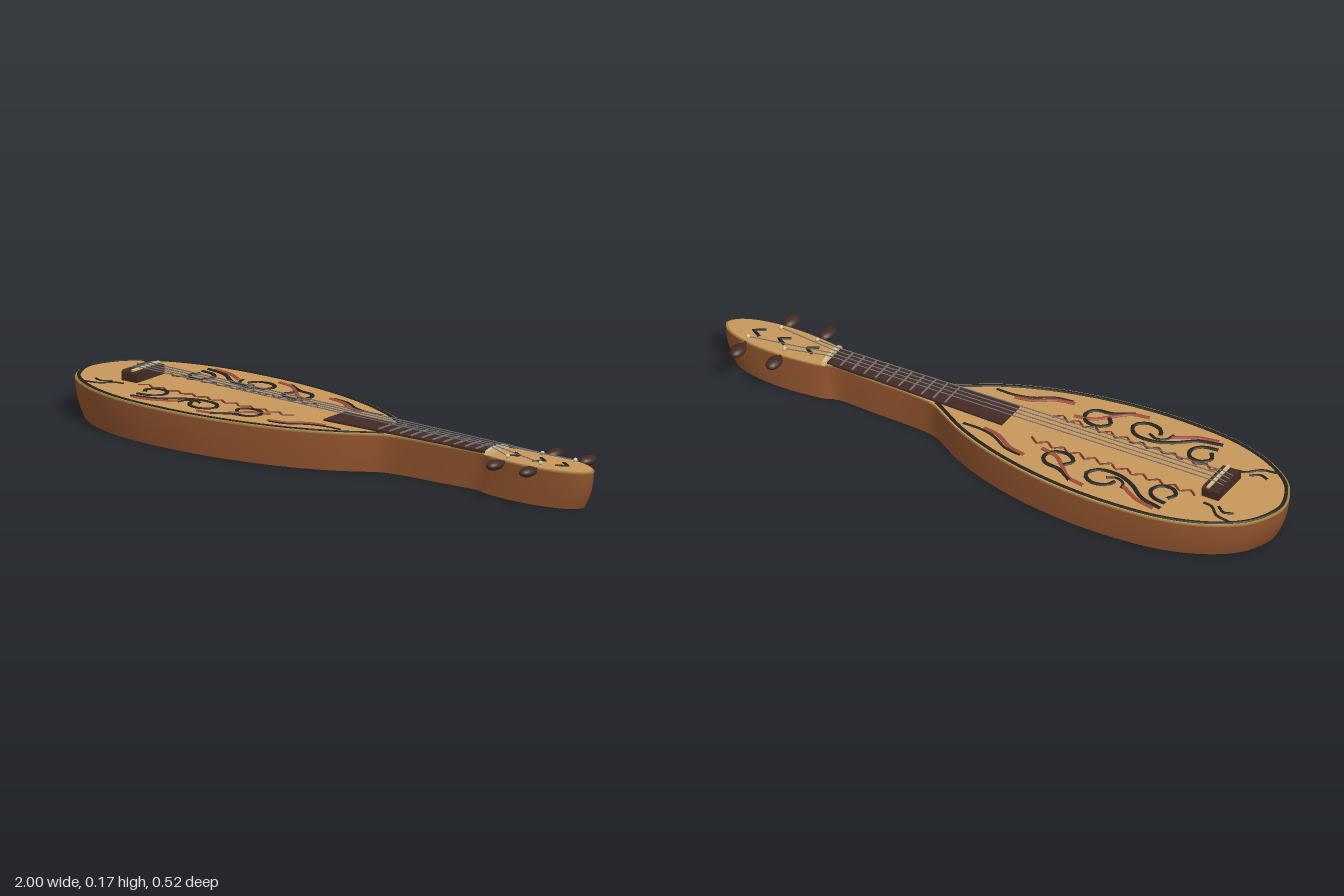
import * as THREE from 'three';

const mat = (name, color) => Object.assign(new THREE.MeshStandardMaterial({ color }), { name });
const V = (x, y, z) => new THREE.Vector3(x, y, z);

export function createModel() {
  const root = new THREE.Group();
  root.name = 'lute';
  const wood = mat('reddish side wood', 0x96562f);
  const spruce = mat('tan soundboard', 0xc6975a);
  const gilt = mat('olive gold binding', 0xa4803f);
  const ebony = mat('dark brown wood', 0x432a23);
  const ink = mat('black inlay', 0x22221f);
  const red = mat('red inlay', 0xa14a38);
  const maroon = mat('maroon inlay', 0x762f22);
  const bone = mat('bone', 0xd3c08c);
  const steel = mat('string steel', 0x77777a);

  const add = (name, geo, m, x = 0, y = 0, z = 0, parent = root) => {
    const mesh = new THREE.Mesh(geo, m);
    mesh.name = name;
    mesh.position.set(x, y, z);
    parent.add(mesh);
    return mesh;
  };

  // Plan outline: x and half width, mirrored into a closed curve
  const half = [
    [-0.985, 0.06], [-0.95, 0.12], [-0.89, 0.17], [-0.8, 0.215], [-0.68, 0.247], [-0.52, 0.26],
    [-0.36, 0.256], [-0.18, 0.23], [-0.02, 0.186], [0.1, 0.135], [0.17, 0.093], [0.225, 0.062],
    [0.3, 0.051], [0.45, 0.046], [0.605, 0.042], [0.625, 0.053], [0.7, 0.066], [0.8, 0.071],
    [0.89, 0.063], [0.96, 0.042], [0.99, 0.02],
  ];
  const ring = [[-1, 0], ...half, [1, 0], ...half.map(([x, z]) => [x, -z]).reverse()];
  const outline = new THREE.CatmullRomCurve3(ring.map(([x, z]) => V(x, 0, z)), true, 'centripetal');
  outline.arcLengthDivisions = 800;
  const N = 200;
  const loop = outline.getSpacedPoints(N).slice(0, N);

  // Bowl sides lofted from scaled copies of the outline
  const levels = [[0, 0.965], [0.025, 0.978], [0.06, 0.991], [0.09, 0.997], [0.118, 1]];
  const pos = [], idx = [];
  levels.forEach(([y, s]) => loop.forEach(p => pos.push(p.x * s, y, p.z * s)));
  for (let l = 0; l < levels.length - 1; l++) {
    for (let i = 0; i < N; i++) {
      const j = (i + 1) % N, a = l * N + i, b = l * N + j;
      idx.push(a, b, b + N, a, b + N, a + N);
    }
  }
  const sides = new THREE.BufferGeometry();
  sides.setAttribute('position', new THREE.Float32BufferAttribute(pos, 3));
  sides.setIndex(idx);
  sides.computeVertexNormals();
  add('sides', sides, wood);

  const shape = s => new THREE.Shape(loop.map(p => new THREE.Vector2(p.x * s, p.z * s)));
  add('back', new THREE.ShapeGeometry(shape(0.965)).rotateX(Math.PI / 2), wood);
  const plate = (name, s, y, h, m) => add(name,
    new THREE.ExtrudeGeometry(shape(s), { depth: h, bevelEnabled: false }).rotateX(-Math.PI / 2), m, 0, y);
  plate('binding', 1, 0.118, 0.004, gilt);
  plate('soundboard', 0.993, 0.122, 0.003, spruce);

  // Flattened inlay line laid on the soundboard
  const inlay = (name, pts, r, m, smooth = true) => {
    const v = pts.map(([x, z]) => V(x, 0, z));
    let curve = new THREE.CatmullRomCurve3(v);
    if (!smooth) {
      curve = new THREE.CurvePath();
      for (let i = 1; i < v.length; i++) curve.add(new THREE.LineCurve3(v[i - 1], v[i]));
    }
    const geo = new THREE.TubeGeometry(curve, smooth ? Math.max(24, pts.length) : (v.length - 1) * 4, r, 6);
    add(name, geo.scale(1, 0.4, 1), m, 0, 0.126);
  };

  // Black purfling following the body edge
  const edge = [];
  for (let i = -N / 2; i < N / 2; i++) {
    const u = ((i + N) % N) / N, p = outline.getPointAt(u), t = outline.getTangentAt(u);
    if (p.x < 0.225) edge.push([p.x + t.z * 0.012, p.z - t.x * 0.012]);
  }
  inlay('purfling', edge, 0.0065, ink);

  // Scrollwork, mirrored on both halves
  const scrolls = [
    [[-0.67, 0.195], [-0.59, 0.175], [-0.53, 0.13], [-0.47, 0.105], [-0.4, 0.11], [-0.375, 0.15],
      [-0.41, 0.18], [-0.46, 0.17], [-0.475, 0.14]],
    [[-0.29, 0.145], [-0.31, 0.115], [-0.28, 0.088], [-0.235, 0.095], [-0.215, 0.13], [-0.235, 0.16], [-0.29, 0.17], [-0.35, 0.205]],
    [[-0.66, 0.14], [-0.675, 0.11], [-0.65, 0.085], [-0.61, 0.09], [-0.595, 0.125], [-0.62, 0.155], [-0.67, 0.165]],
    [[-0.51, 0.165], [-0.5, 0.135], [-0.47, 0.122], [-0.44, 0.135]],
    [[-0.15, 0.165], [-0.09, 0.155], [-0.03, 0.12], [0.03, 0.105], [0.09, 0.105]],
    [[-0.89, 0.15], [-0.84, 0.14], [-0.8, 0.105], [-0.77, 0.1]],
    [[-0.88, 0.105], [-0.85, 0.115], [-0.82, 0.095]],
  ];
  const redScrolls = [
    [[-0.4, 0.208], [-0.34, 0.195], [-0.29, 0.15], [-0.25, 0.115], [-0.19, 0.1]],
    [[-0.16, 0.158], [-0.1, 0.145], [-0.04, 0.108], [0.02, 0.095]],
    [[-0.65, 0.205], [-0.58, 0.19], [-0.51, 0.15]],
  ];
  for (const s of [1, -1]) {
    const flip = pts => pts.map(([x, z]) => [x, z * s]);
    scrolls.forEach((p, i) => inlay('scroll', flip(p), i < 3 ? 0.0075 : 0.005, ink));
    redScrolls.forEach(p => inlay('redScroll', flip(p), 0.0075, red));
    const zig = Array.from({ length: 22 }, (_, i) => [-0.73 + i * 0.0285, s * (i % 2 ? 0.062 : 0.084)]);
    inlay('zigzag', zig, 0.004, maroon, false);
  }
  // Chevrons on the head
  for (const x of [0.7, 0.8, 0.89]) {
    inlay('headChevron', [[x - 0.022, -0.021], [x + 0.012, 0], [x - 0.022, 0.021]], 0.006, ink, false);
  }

  // Tapered fingerboard and frets
  const board = new THREE.Shape([[-0.02, -0.056], [0.615, -0.041], [0.615, 0.041], [-0.02, 0.056]]
    .map(p => new THREE.Vector2(...p)));
  add('fingerboard', new THREE.ExtrudeGeometry(board, { depth: 0.008, bevelEnabled: false })
    .rotateX(-Math.PI / 2), ebony, 0, 0.123);
  for (let i = 0; i < 10; i++) {
    const x = 0.19 + 0.042 * i;
    add('fret', new THREE.BoxGeometry(0.004, 0.005, 0.1 - 0.026 * (x + 0.02) / 0.635), steel, x, 0.1325);
  }

  // Arched nut
  const nut = new THREE.Shape();
  nut.moveTo(-0.056, 0);
  nut.lineTo(0.056, 0);
  nut.lineTo(0.05, 0.012);
  nut.quadraticCurveTo(0, 0.028, -0.05, 0.012);
  add('nut', new THREE.ExtrudeGeometry(nut, { depth: 0.012, bevelEnabled: false })
    .rotateY(Math.PI / 2), bone, 0.615, 0.124);

  // Bridge with rounded shoulders and a bone saddle
  const br = new THREE.Shape();
  br.moveTo(-0.07, 0);
  br.lineTo(0.07, 0);
  br.lineTo(0.07, 0.025);
  br.quadraticCurveTo(0.07, 0.034, 0.061, 0.034);
  br.lineTo(-0.061, 0.034);
  br.quadraticCurveTo(-0.07, 0.034, -0.07, 0.025);
  add('bridge', new THREE.ExtrudeGeometry(br, { depth: 0.06, bevelEnabled: false })
    .rotateY(Math.PI / 2), ebony, -0.805, 0.124);
  add('saddle', new THREE.BoxGeometry(0.01, 0.006, 0.134), bone, -0.765, 0.161);

  // Tuning pegs, posts and strings
  const string = (a, b) => add('string',
    new THREE.TubeGeometry(new THREE.LineCurve3(a, b), 1, 0.0018, 6), steel);
  const pegs = [[0.765, -1], [0.895, -1], [0.83, 1], [0.7, 1]];
  pegs.forEach(([x, s], i) => {
    const peg = new THREE.Group();
    peg.name = 'tuningPeg';
    peg.position.set(x, 0.118, 0);
    root.add(peg);
    add('pegHead', new THREE.SphereGeometry(1, 20, 14).scale(0.023, 0.016, 0.036), ebony, 0, 0, s * 0.109, peg);
    add('pegShaft', new THREE.CylinderGeometry(0.006, 0.006, 0.05, 10).rotateX(Math.PI / 2), ebony, 0, 0, s * 0.06, peg);
    const pz = s * 0.046;
    add('post', new THREE.CylinderGeometry(0.005, 0.005, 0.012, 12), bone, 0, 0.011, pz, peg);
    add('postCap', new THREE.SphereGeometry(0.0075, 12, 8), bone, 0, 0.015, pz, peg);
    const z = -0.03 + i * 0.02;
    const top = V(0.621, 0.145, z * 0.85);
    string(V(-0.8, 0.159, z), V(-0.765, 0.165, z));
    string(V(-0.765, 0.165, z), top);
    string(top, V(x, 0.133, pz));
  });
  return root;
}
